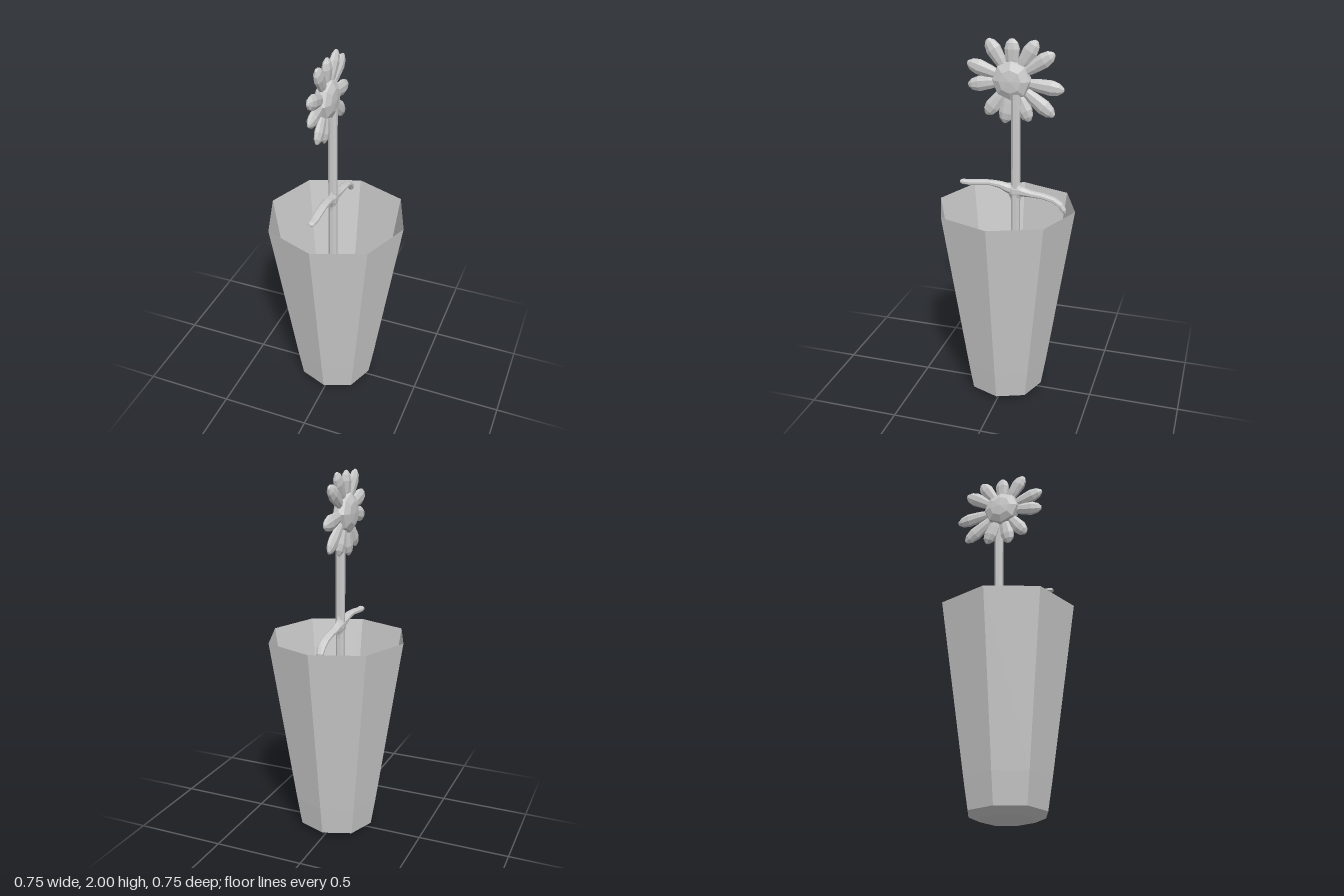
import * as THREE from 'three';

const grey = new THREE.MeshStandardMaterial({ color: 0xcccccc, flatShading: true });
const greyOpen = new THREE.MeshStandardMaterial({ color: 0xcccccc, flatShading: true, side: THREE.DoubleSide });
const STEM_X = -0.036, STEM_Z = -0.04;
const HEAD = new THREE.Vector3(-0.055, 1.786, -0.013);

function lathe(profile, sides) {
  return new THREE.LatheGeometry(profile.map(p => new THREE.Vector2(...p)), sides);
}

function named(name, geometry, material = grey) {
  const mesh = new THREE.Mesh(geometry, material);
  mesh.name = name;
  return mesh;
}

// Tapered limb lying in the plane x = STEM_X; each station is [z, y, halfWidth, halfHeight]
function limb(stations, sides = 8) {
  const pos = [], index = [];
  stations.forEach(([z, y, w, h], i) => {
    const a = stations[Math.max(i - 1, 0)], b = stations[Math.min(i + 1, stations.length - 1)];
    const len = Math.hypot(b[0] - a[0], b[1] - a[1]);
    const tz = (b[0] - a[0]) / len, ty = (b[1] - a[1]) / len;
    for (let j = 0; j < sides; j++) {
      const t = (j + 0.5) / sides * Math.PI * 2, s = Math.sin(t) * h;
      pos.push(STEM_X + Math.cos(t) * w, y + s * tz, z - s * ty);
    }
  });
  for (let i = 0; i < stations.length - 1; i++) {
    for (let j = 0; j < sides; j++) {
      const k = (j + 1) % sides;
      const a = i * sides + j, b = i * sides + k, c = b + sides, d = a + sides;
      index.push(a, b, d, b, c, d);
    }
  }
  const g = new THREE.BufferGeometry();
  g.setAttribute('position', new THREE.Float32BufferAttribute(pos, 3));
  g.setIndex(index);
  g.computeVertexNormals();
  return g;
}

export function createModel() {
  const model = new THREE.Group();
  model.name = 'pottedFlower';

  // Open eight-sided pot; the diagonal corners sit slightly further out
  const potGeo = lathe([[0, 0], [0.147, 0], [0.209, 0.028], [0.236, 0.19], [0.377, 1.12]], 8);
  const p = potGeo.attributes.position;
  for (let i = 0; i < p.count; i++) {
    const x = p.getX(i), z = p.getZ(i);
    if (Math.abs(x) > 0.01 && Math.abs(z) > 0.01) p.setXYZ(i, x * 1.027, p.getY(i), z * 1.027);
  }
  model.add(named('pot', potGeo, greyOpen));

  // Stem
  const stem = named('stem', new THREE.CylinderGeometry(0.025, 0.025, 1.72, 8));
  stem.geometry.rotateY(Math.PI / 8);
  stem.position.set(STEM_X, 0.86, STEM_Z);
  model.add(stem);

  // Swollen joint where the leaves meet the stem
  const joint = named('leafJoint', lathe(
    [[0.024, 1.12], [0.029, 1.15], [0.044, 1.18], [0.044, 1.205], [0.029, 1.23], [0.024, 1.25]], 8));
  joint.geometry.rotateY(Math.PI / 8);
  joint.geometry.scale(0.62, 1, 1);
  joint.position.set(STEM_X, 0, STEM_Z);
  model.add(joint);

  // Two long thin leaves
  model.add(named('frontLeaf', limb([
    [-0.04, 1.195, 0.024, 0.034], [0, 1.203, 0.024, 0.027], [0.045, 1.219, 0.024, 0.019],
    [0.1, 1.226, 0.024, 0.015], [0.16, 1.222, 0.024, 0.015], [0.22, 1.215, 0.024, 0.015],
    [0.262, 1.216, 0.02, 0.014], [0.274, 1.217, 0.011, 0.008], [0.275, 1.217, 0, 0]])));
  model.add(named('backLeaf', limb([
    [-0.04, 1.195, 0.024, 0.034], [-0.08, 1.19, 0.024, 0.026], [-0.125, 1.183, 0.024, 0.018],
    [-0.19, 1.177, 0.024, 0.015], [-0.25, 1.162, 0.024, 0.015], [-0.29, 1.137, 0.024, 0.015],
    [-0.308, 1.108, 0.02, 0.014], [-0.313, 1.094, 0.011, 0.008], [-0.313, 1.093, 0, 0]])));

  // Flower head: domed disc facing both sides along x
  const head = new THREE.Group();
  head.name = 'flowerHead';
  head.position.copy(HEAD);
  const disc = named('flowerCentre', lathe(
    [[0, -0.053], [0.06, -0.047], [0.098, -0.028], [0.108, 0], [0.098, 0.028], [0.06, 0.047], [0, 0.053]], 8));
  disc.rotation.z = -Math.PI / 2;
  head.add(disc);

  // Petals: tip offsets [z, y] from the centre
  const tips = [[0, 0.213], [-0.13, 0.207], [-0.222, 0.147], [-0.276, -0.037], [-0.226, -0.174],
    [-0.095, -0.21], [0.04, -0.228], [0.14, -0.188], [0.238, -0.037], [0.242, 0.08], [0.132, 0.205]];
  const petalGeo = lathe([[0, 0], [0.02, 0.2], [0.035, 0.5], [0.042, 0.75], [0.032, 0.9], [0.012, 0.99], [0, 1]], 8);
  petalGeo.rotateY(Math.PI / 8);
  petalGeo.scale(0.58, 1, 1);
  for (const [z, y] of tips) {
    const petal = named('petal', petalGeo);
    petal.scale.y = Math.hypot(z, y);
    petal.rotation.x = Math.atan2(z, y);
    head.add(petal);
  }
  model.add(head);
  return model;
}
